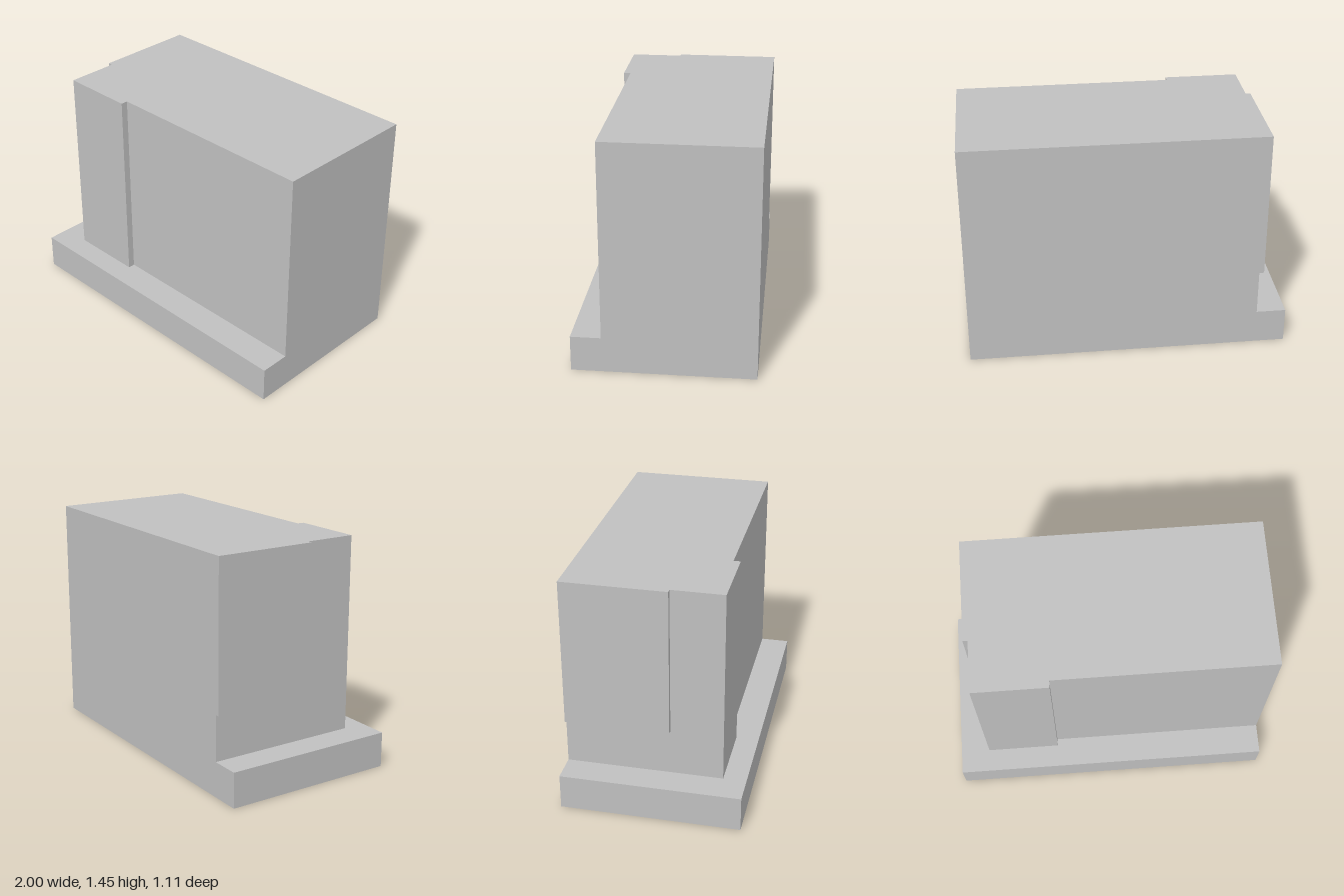
import * as THREE from 'three';

export function createModel() {
  const model = new THREE.Group();
  const grey = new THREE.MeshStandardMaterial({ color: 0xc0c0c0 });
  grey.name = 'light grey';

  // Extrudes a footprint given as [x, z] corners from height y0 to y1
  function block(name, corners, y0, y1) {
    const shape = new THREE.Shape(corners.map(([x, z]) => new THREE.Vector2(x, -z)));
    const geometry = new THREE.ExtrudeGeometry(shape, { depth: y1 - y0, bevelEnabled: false });
    geometry.rotateX(-Math.PI / 2).translate(0, y0, 0);
    const mesh = new THREE.Mesh(geometry, grey);
    mesh.name = name;
    model.add(mesh);
  }

  const back = -0.555, baseTop = 0.222, roof = 1.445;

  // Wide plinth
  block('base', [[-1, 0.555], [1, 0.555], [1, back], [-1, back]], 0, baseTop);

  // Main block with a shallow projecting bay at the front corner
  block('body', [
    [-0.815, 0.413], [-0.353, 0.413], [-0.353, 0.37],
    [1, 0.37], [1, back], [-0.815, back],
  ], baseTop, roof);

  // Thin overhang on the side, starting above the plinth
  block('sideOverhang', [
    [-0.845, 0.09], [-0.815, 0.09], [-0.815, back], [-0.845, back],
  ], 0.512, roof);

  return model;
}
